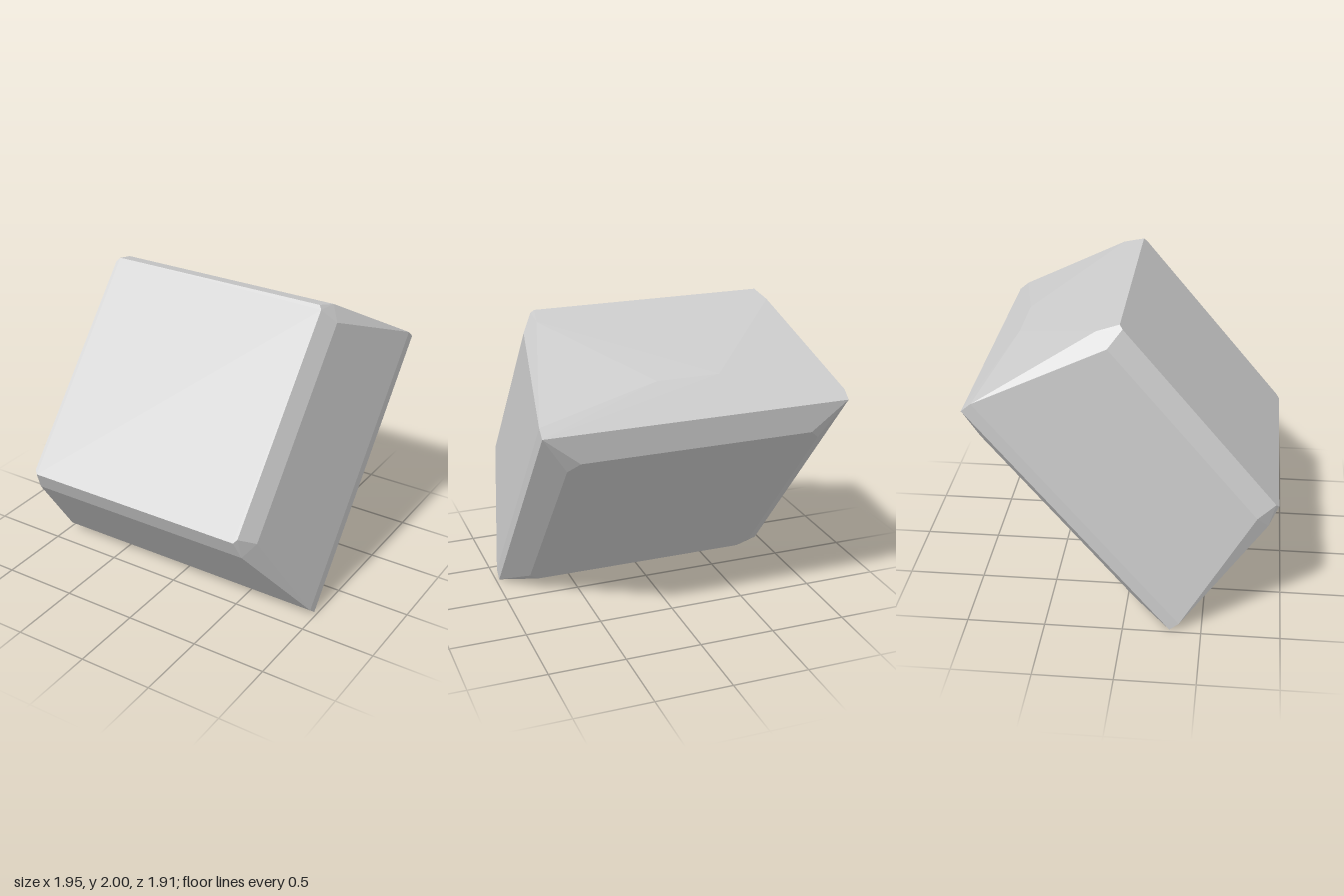
import * as THREE from 'three';
import { ConvexGeometry } from 'three/addons/geometries/ConvexGeometry.js';

export function createModel() {
  const group = new THREE.Group();
  const lightGrey = new THREE.MeshStandardMaterial({ color: 0xcccccc });
  lightGrey.name = 'light grey';

  // Cross-sections of the tapered block: height, then one quarter's corners (x, z)
  const sections = [
    [0.125, [[0.745, 0.817], [0.815, 0.74]]],
    [0.231, [[0.977, 0.977]]],
    [0.308, [[0.977, 0.977]]],
    [1.128, [[0.775, 0.828], [0.84, 0.718]]],
    [1.257, [[0.75, 0.768], [0.77, 0.74]]],
  ];
  const points = [];
  for (const [y, corners] of sections) {
    for (const [x, z] of corners) {
      for (const sx of [-1, 1]) {
        for (const sz of [-1, 1]) points.push(new THREE.Vector3(sx * x, y, sz * z));
      }
    }
  }
  // Slight bulge on the upper wall
  for (const x of [-0.2, 0.2]) points.push(new THREE.Vector3(x, 0.52, -0.982));

  // Tilt the block onto its lower rim edge
  const block = new THREE.Mesh(new ConvexGeometry(points), lightGrey);
  block.name = 'bevelledBlock';
  block.rotation.x = 0.876;
  block.position.set(0, 0.604, -0.504);
  group.add(block);
  return group;
}
